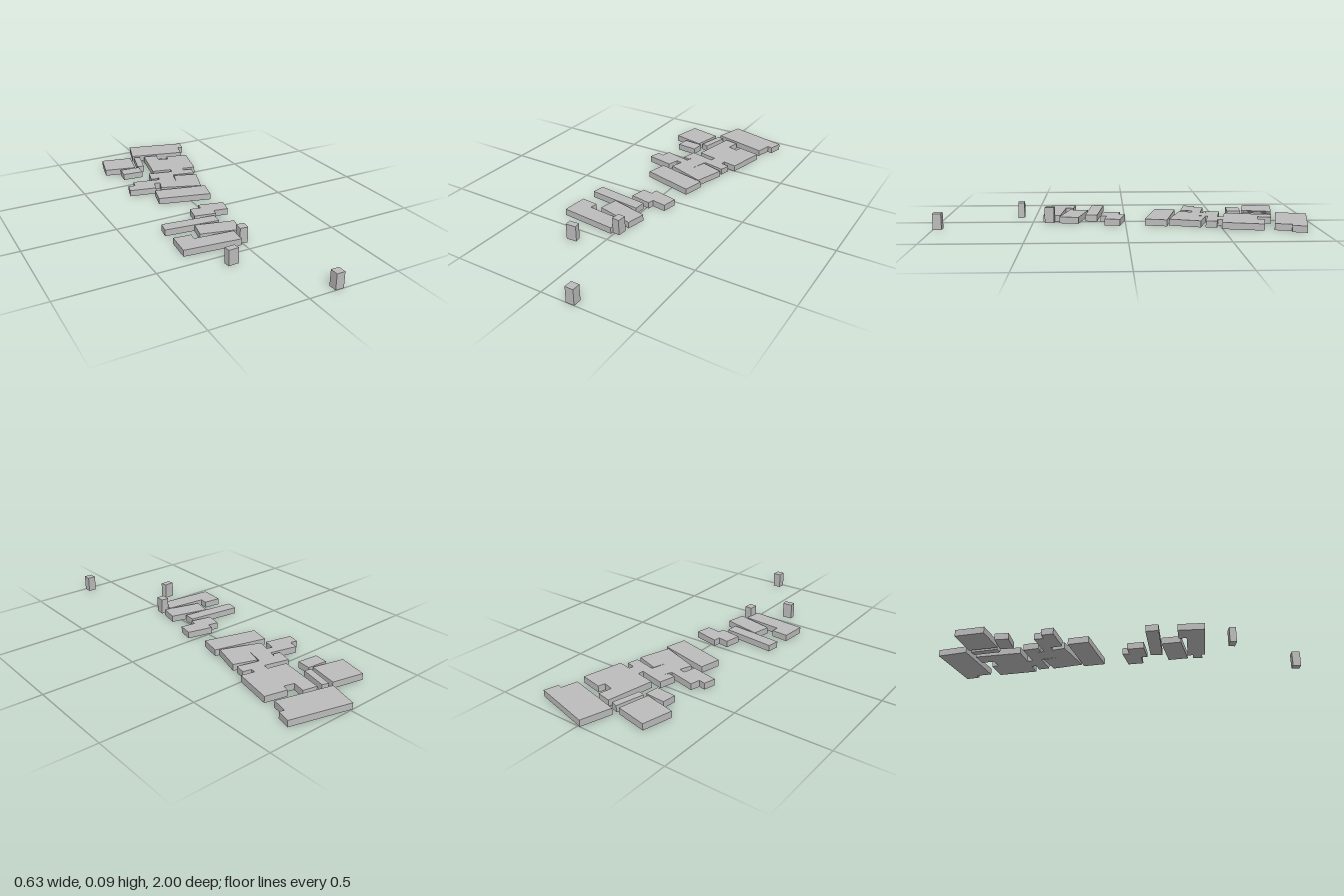
import * as THREE from 'three';

const LOW = 0.035, TALL = 0.085;

// Footprints as x, z corner pairs
const lowBlocks = {
  backHall: [-0.013, -1, 0.315, -0.915, 0.294, -0.841, 0.267, -0.848, 0.246, -0.763, -0.06, -0.841],
  backLeftHouse: [-0.257, -0.857, -0.082, -0.82, -0.118, -0.66, -0.294, -0.7],
  narrowShed: [-0.06, -0.815, -0.024, -0.804, -0.06, -0.657, -0.097, -0.667],
  smallHouse: [-0.212, -0.661, -0.098, -0.651, -0.105, -0.577, -0.22, -0.587],
  largeHall: [0.003, -0.8, 0.082, -0.783, 0.066, -0.714, 0.122, -0.699, 0.133, -0.735,
    0.256, -0.709, 0.209, -0.497, -0.045, -0.55],
  courtBack: [-0.082, -0.529, 0.056, -0.497, 0.061, -0.529, 0.135, -0.513, 0.13, -0.487,
    0.178, -0.476, 0.164, -0.418, 0.042, -0.446, 0.034, -0.43, -0.05, -0.459, -0.064, -0.438, -0.103, -0.446],
  courtSide: [-0.214, -0.455, -0.066, -0.42, -0.05, -0.459, 0.034, -0.43, 0.013, -0.349,
    -0.113, -0.381, -0.13, -0.317, -0.278, -0.349, -0.262, -0.413, -0.225, -0.403],
  courtFront: [0.04, -0.434, 0.167, -0.392, 0.114, -0.228, -0.103, -0.307, -0.077, -0.381, 0.013, -0.349],
  longHouse: [-0.151, -0.286, 0.135, -0.217, 0.108, -0.101, -0.177, -0.175],
  steppedHouse: [-0.024, 0, 0.114, 0.032, 0.098, 0.114, 0.019, 0.101, 0.013, 0.135,
    -0.103, 0.114, -0.087, 0.026, -0.029, 0.037],
  narrowRow: [-0.299, 0.119, -0.008, 0.153, -0.013, 0.217, -0.309, 0.186],
  tiltedHouse: [-0.151, 0.206, 0.056, 0.254, 0.034, 0.357, -0.172, 0.307],
  cornerHouse: [-0.309, 0.281, -0.214, 0.291, -0.22, 0.333, -0.003, 0.354, -0.013, 0.447, -0.32, 0.418],
};
const tallBlocks = {
  innerTower: [-0.009, 0.383, 0.034, 0.386, 0.029, 0.436, -0.013, 0.431],
  middleTower: [-0.176, 0.562, -0.122, 0.56, -0.116, 0.594, -0.173, 0.598],
  frontTower: [0.14, 0.955, 0.185, 0.955, 0.185, 1, 0.14, 1],
};

// Raises a footprint into a flat-roofed block
function block(name, corners, height, material) {
  const points = [];
  for (let i = 0; i < corners.length; i += 2) points.push(new THREE.Vector2(corners[i], -corners[i + 1]));
  const geometry = new THREE.ExtrudeGeometry(new THREE.Shape(points), { depth: height, bevelEnabled: false });
  geometry.rotateX(-Math.PI / 2);
  const mesh = new THREE.Mesh(geometry, material);
  mesh.name = name;
  return mesh;
}

export function createModel() {
  const group = new THREE.Group();
  group.name = 'buildingBlocks';
  const grey = new THREE.MeshStandardMaterial({ color: 0xbcbcbc });
  grey.name = 'grey';
  for (const [name, corners] of Object.entries(lowBlocks)) group.add(block(name, corners, LOW, grey));
  for (const [name, corners] of Object.entries(tallBlocks)) group.add(block(name, corners, TALL, grey));
  return group;
}
